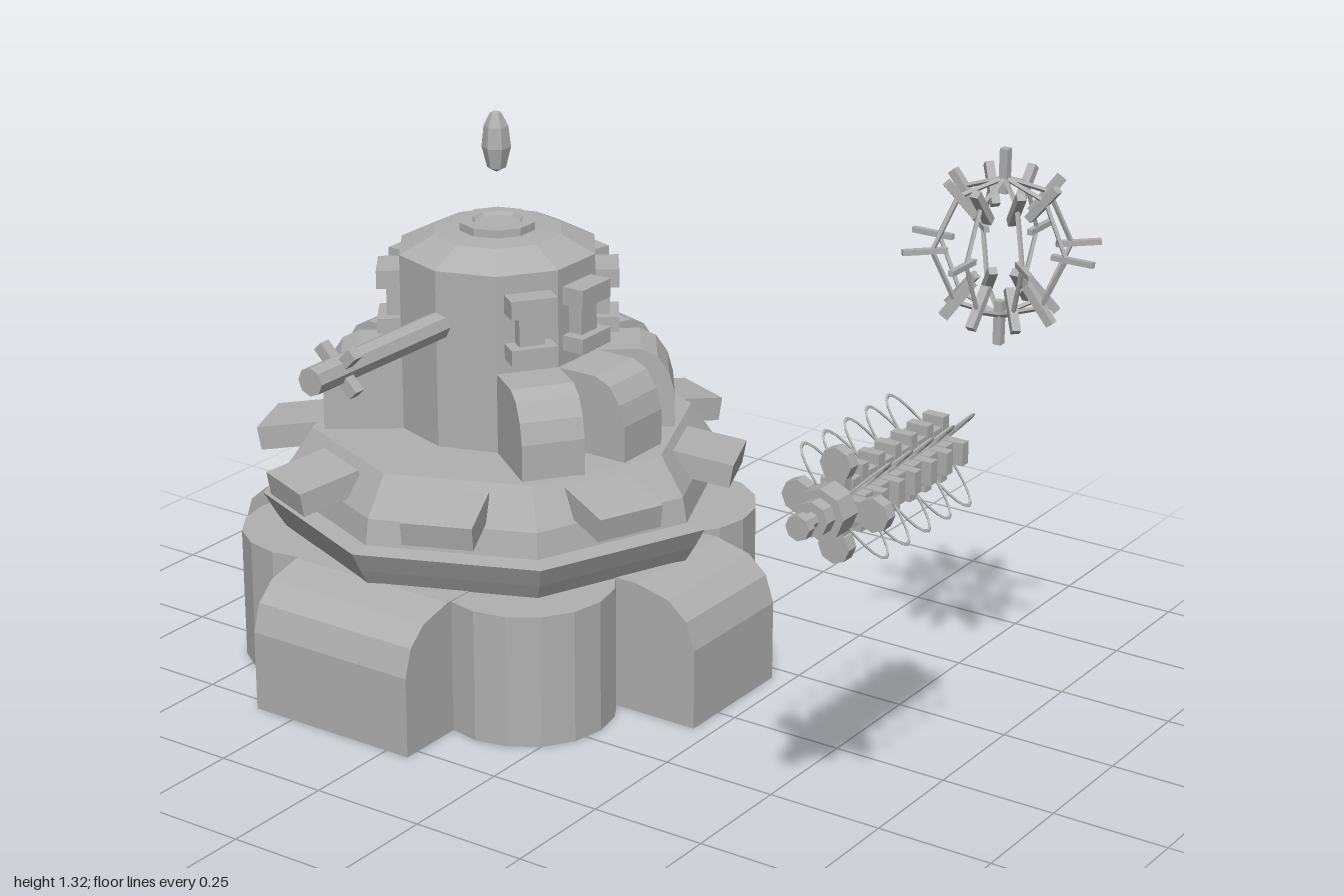
import * as THREE from 'three';

const grey = new THREE.MeshStandardMaterial({ color: 0xb0b0b0, flatShading: true });
grey.name = 'stone grey';
const DEG = Math.PI / 180;

function add(parent, name, geometry, x = 0, y = 0, z = 0) {
  const mesh = new THREE.Mesh(geometry, grey);
  mesh.name = name;
  mesh.position.set(x, y, z);
  parent.add(mesh);
  return mesh;
}
function spoke(parent, name, angle) {
  const g = new THREE.Group();
  g.name = name;
  g.rotation.y = angle; // local +z points outward
  parent.add(g);
  return g;
}
const box = (w, h, d) => new THREE.BoxGeometry(w, h, d);
const lathe = (pts, sides) => new THREE.LatheGeometry(pts.map(p => new THREE.Vector2(...p)), sides);
// Disc or rod along z
const rod = (r, len, sides = 8) => new THREE.CylinderGeometry(r, r, len, sides).rotateX(Math.PI / 2);

// Side profile given as [outward, y], extruded across the given width
function wedge(profile, width) {
  const shape = new THREE.Shape(profile.map(p => new THREE.Vector2(...p)));
  return new THREE.ExtrudeGeometry(shape, { depth: width, bevelEnabled: false })
    .translate(0, 0, -width / 2).rotateY(-Math.PI / 2);
}

function buildTower() {
  const tower = new THREE.Group();
  tower.name = 'tower';
  tower.position.set(-0.395, 0, -0.058);

  // Base with four square buttresses and four round ones
  add(tower, 'baseCore', new THREE.CylinderGeometry(0.43, 0.43, 0.292, 8), 0, 0.146, 0);
  const buttress = [[0, 0], [0.592, 0], [0.592, 0.175], [0.573, 0.235], [0.53, 0.273], [0.45, 0.292], [0, 0.292]];
  for (let i = 0; i < 4; i++) {
    const s = spoke(tower, 'buttress', i * 90 * DEG);
    add(s, 'buttressBlock', wedge(buttress.map(([r, y]) => [i % 2 ? r * 1.02 : r, y]), i % 2 ? 0.3 : 0.4));
    const d = spoke(tower, 'roundButtress', (45 + i * 90) * DEG);
    add(d, 'roundButtressBody', new THREE.CylinderGeometry(0.185, 0.185, 0.29, 16), 0, 0.145, 0.376);
  }

  // Octagonal terraces
  add(tower, 'terraces', lathe([[0, 0.285], [0.47, 0.285], [0.495, 0.325], [0.52, 0.37], [0.475, 0.375],
    [0.465, 0.43], [0.41, 0.512], [0, 0.515]], 8), 0, 0, -0.012);
  for (let i = 0; i < 8; i++) {
    const s = spoke(tower, 'terracePlate', (22.5 + i * 45) * DEG);
    const p = add(s, 'plate', box(0.15, 0.052, 0.14), 0, 0.459, 0.45);
    p.rotation.x = 10 * DEG;
  }

  // Turret drum, dome and cap
  add(tower, 'turret', lathe([[0, 0.5], [0.215, 0.5], [0.215, 0.9], [0.14, 0.936], [0.083, 0.94],
    [0.083, 0.957], [0.055, 0.957], [0.05, 0.95], [0, 0.95]], 10));

  // Ribs and clamps on every turret face but the two front ones
  const rib = [[0.15, 0.51], [0.372, 0.51], [0.372, 0.59], [0.36, 0.635], [0.335, 0.672], [0.3, 0.688], [0.15, 0.688]];
  for (let i = 1; i < 9; i++) {
    const s = spoke(tower, 'rib', (18 + i * 36) * DEG);
    add(s, 'ribBody', wedge(rib, 0.135));
    add(s, 'clampTop', box(0.1, 0.04, 0.06), 0, 0.84, 0.225);
    add(s, 'clampStem', box(0.055, 0.08, 0.035), 0, 0.785, 0.218);
    add(s, 'clampBottom', box(0.1, 0.033, 0.06), 0, 0.737, 0.225);
  }

  // Barrel with crossed muzzle bars
  add(tower, 'barrel', rod(0.03, 0.5), 0, 0.78, 0.37);
  for (const a of [45, -45]) {
    add(tower, 'muzzleBar', box(0.125, 0.025, 0.025), 0, 0.78, 0.53).rotation.z = a * DEG;
  }

  // Floating crystal
  add(tower, 'crystal', lathe([[0, 1.06], [0.02, 1.07], [0.031, 1.115], [0.026, 1.16], [0.012, 1.188], [0, 1.192]], 6));
  return tower;
}

function buildOrb() {
  const orb = new THREE.Group();
  orb.name = 'spikedOrb';
  orb.position.set(0.805, 1.12, -0.058);
  const R = 0.137;
  const levels = [-90, -50, 0, 50, 90];
  for (let i = 0; i < 8; i++) {
    const s = spoke(orb, 'orbMeridian', i * 45 * DEG);
    levels.forEach((e, k) => {
      const dir = new THREE.Vector3(0, Math.sin(e * DEG), Math.cos(e * DEG));
      // Radial spikes, with the pole spikes made only once
      if (Math.abs(e) < 90 || i === 0) {
        const t = e === 0 ? 0.011 : 0.017;
        const spike = add(s, 'spike', box(t, t, 0.088));
        spike.position.copy(dir).multiplyScalar(e === 0 || Math.abs(e) === 90 ? 0.151 : 0.13);
        spike.rotation.x = -e * DEG;
      }
      // Wire cage between spikes
      if (k > 0) {
        const p = levels[k - 1] * DEG;
        const from = new THREE.Vector3(0, Math.sin(p), Math.cos(p)).multiplyScalar(R);
        const to = dir.clone().multiplyScalar(R);
        add(s, 'cageWire', new THREE.TubeGeometry(new THREE.LineCurve3(from, to), 1, 0.005, 4));
      }
    });
  }
  return orb;
}

function buildCoil() {
  const coil = new THREE.Group();
  coil.name = 'coilGun';
  coil.position.set(0.8, 0.785, 0);
  add(coil, 'coilCore', rod(0.036, 0.4), 0, 0, 0.36);

  // Stacked cross-shaped discs of alternating size
  for (let i = 0; i < 12; i++) {
    const w = i % 2 ? 0.095 : 0.132;
    const z = 0.166 + i * 0.029;
    const d = i % 2 ? 0.029 : 0.022;
    add(coil, 'crossDisc', box(w, 0.045, d), 0, 0, z);
    add(coil, 'crossDisc', box(0.045, w, d), 0, 0, z);
  }

  // Thin oval loops in the two diagonal planes
  for (let i = 0; i < 5; i++) {
    for (const a of [45, -45]) {
      const g = new THREE.TorusGeometry(1, 0.03, 4, 24);
      g.scale(0.128, 0.042, 0.1).rotateX(Math.PI / 2);
      add(coil, 'wireLoop', g, 0, 0, 0.19 + i * 0.075).rotation.z = a * DEG;
    }
  }

  // Four-petal flange, head and tip
  for (let i = 0; i < 4; i++) {
    const petal = new THREE.Group();
    petal.name = 'flangePetal';
    petal.rotation.z = i * 90 * DEG;
    coil.add(petal);
    add(petal, 'petalStem', box(0.04, 0.09, 0.026), 0, 0.045, 0.512);
    add(petal, 'petalEnd', rod(0.033, 0.026), 0, 0.08, 0.512);
  }
  add(coil, 'head', rod(0.05, 0.05), 0, 0, 0.55);
  add(coil, 'neck', rod(0.034, 0.03), 0, 0, 0.588);
  add(coil, 'stem', rod(0.016, 0.04), 0, 0, 0.615);
  add(coil, 'tip', rod(0.025, 0.02), 0, 0, 0.64);
  return coil;
}

export function createModel() {
  const model = new THREE.Group();
  model.name = 'turretSet';
  model.add(buildTower(), buildOrb(), buildCoil());
  return model;
}
